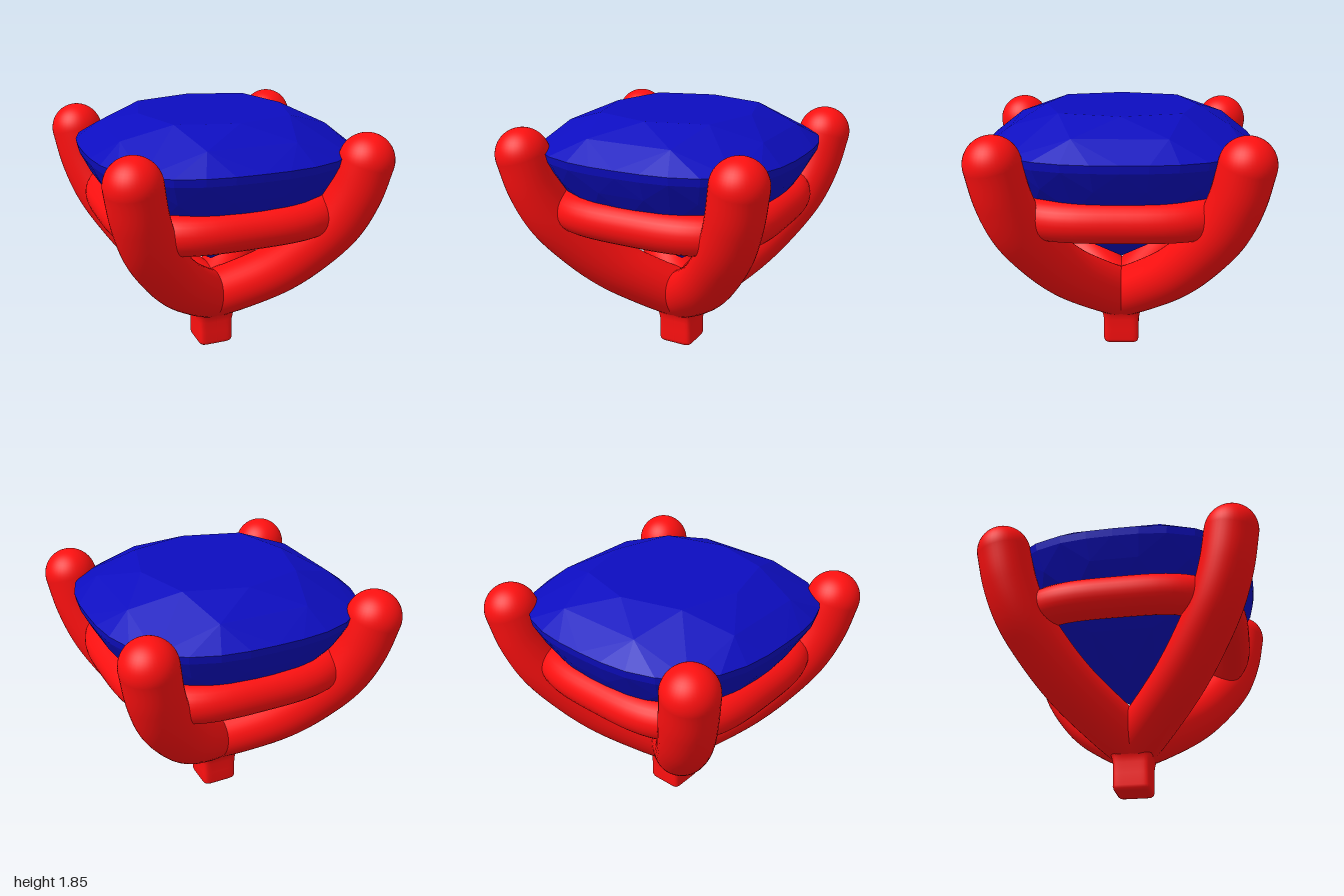
import * as THREE from 'three';
import { ConvexGeometry } from 'three/addons/geometries/ConvexGeometry.js';

const metal = new THREE.MeshStandardMaterial({ color: 0xff1010 });
const stone = new THREE.MeshStandardMaterial({ color: 0x0d0dc0, flatShading: true });

// Point on a cushion (superellipse) outline of half width r at an angle
function cushion(r, angle, y, n = 2.75) {
  const c = Math.cos(angle), s = Math.sin(angle);
  const k = r / Math.pow(Math.abs(c) ** n + Math.abs(s) ** n, 1 / n);
  return new THREE.Vector3(k * c, y, k * s);
}

function part(name, geometry, material) {
  const mesh = new THREE.Mesh(geometry, material);
  mesh.name = name;
  return mesh;
}

// Faceted cushion-cut gem: the hull of its facet corners
function makeGem() {
  // half width, height, corners, turn in steps
  const rings = [
    [0.54, 1.85, 8, 0],
    [0.78, 1.745, 8, 0.5],
    [0.94, 1.615, 32, 0],
    [0.93, 1.56, 32, 0],
    [0.86, 1.42, 16, 0.5],
    [0.75, 1.25, 16, 0],
    [0.55, 1.04, 8, 0.5],
    [0.25, 0.84, 8, 0],
  ];
  const points = [new THREE.Vector3(0, 0.68, 0)];
  for (const [r, y, count, turn] of rings) {
    for (let i = 0; i < count; i++) {
      points.push(cushion(r, ((i + turn) / count) * Math.PI * 2, y));
    }
  }
  return part('gem', new ConvexGeometry(points), stone);
}

// Curved prong rising along a diagonal, with a round tip
function makeProng(sx, sz) {
  const path = [
    [0, 0.38], [0.16, 0.5], [0.385, 0.7], [0.545, 0.9],
    [0.685, 1.13], [0.765, 1.36], [0.81, 1.59],
  ].map(([d, y]) => new THREE.Vector3(sx * d, y, sz * d));
  const curve = new THREE.CatmullRomCurve3(path);
  const prong = new THREE.Group();
  prong.name = 'prong';
  const tip = part('prongTip', new THREE.SphereGeometry(0.19, 40, 28), metal);
  tip.position.copy(path[path.length - 1]);
  prong.add(part('prongShaft', new THREE.TubeGeometry(curve, 48, 0.19, 40), metal), tip);
  return prong;
}

// Cushion-shaped rail joining the prongs under the gem
function makeRail() {
  const points = [];
  for (let i = 0; i < 48; i++) points.push(cushion(0.74, (i / 48) * Math.PI * 2, 1.185, 3.4));
  const curve = new THREE.CatmullRomCurve3(points, true);
  return part('rail', new THREE.TubeGeometry(curve, 120, 0.142, 28, true), metal);
}

// Square stem with soft edges, flaring into the prongs
function makeStem() {
  const profile = [
    [0, 0], [0.1, 0], [0.118, 0.004], [0.13, 0.016], [0.135, 0.035], [0.135, 0.12],
    [0.136, 0.2], [0.142, 0.24], [0.155, 0.27], [0.178, 0.3], [0.205, 0.33], [0.215, 0.36], [0, 0.45],
  ].map(([x, y]) => new THREE.Vector2(x, y));
  const geometry = new THREE.LatheGeometry(profile, 64);
  const pos = geometry.attributes.position;
  for (let i = 0; i < pos.count; i++) {
    const x = pos.getX(i), y = pos.getY(i), z = pos.getZ(i);
    // square below, rounder where it meets the prongs
    const n = y < 0.26 ? 9 : 5;
    const p = cushion(Math.hypot(x, z), Math.atan2(z, x), y, n);
    pos.setXYZ(i, p.x, p.y, p.z);
  }
  geometry.computeVertexNormals();
  return part('stem', geometry, metal);
}

export function createModel() {
  const model = new THREE.Group();
  model.name = 'gemSetting';
  model.add(makeGem(), makeRail(), makeStem());
  for (const sx of [1, -1]) for (const sz of [1, -1]) model.add(makeProng(sx, sz));
  return model;
}
